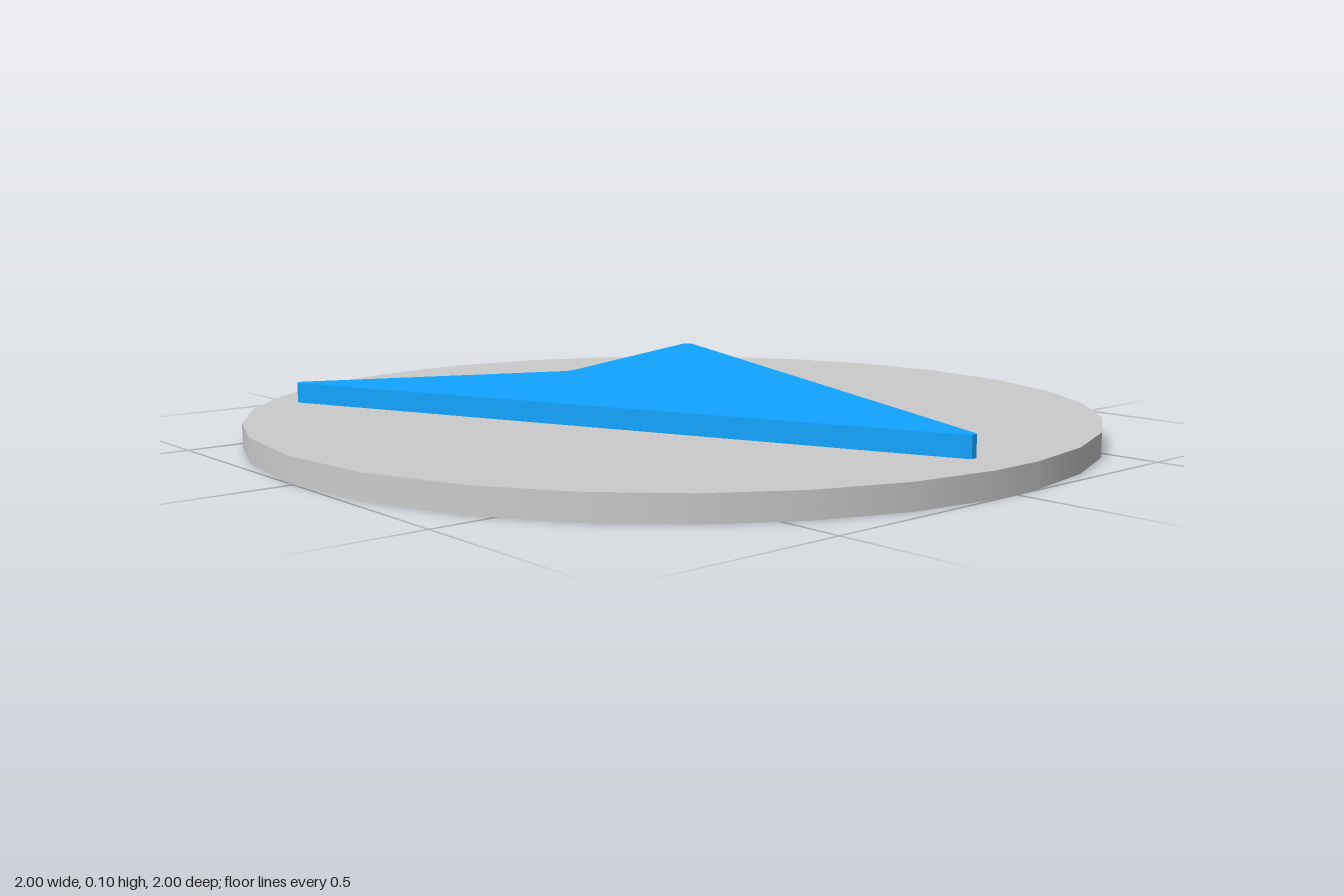
import * as THREE from 'three';

const DISC_HEIGHT = 0.056;
const ARROW_HEIGHT = 0.048;

// Slightly uneven 30-sided disc: rim angles in degrees from the front, mirrored in x
function discGeometry() {
  const half = [4, 15.4, 27, 38.8, 51, 63.3, 77, 91, 105, 116.7, 129, 140.8, 152.5, 164.3, 176];
  const rim = [...half, ...half.map((a) => 360 - a).reverse()];
  const geometry = new THREE.CylinderGeometry(1, 1, DISC_HEIGHT, rim.length);
  const { position, normal } = geometry.attributes;
  for (let i = 0; i < position.count; i++) {
    const x = position.getX(i), z = position.getZ(i);
    if (Math.hypot(x, z) < 0.5) continue; // cap centre
    const step = Math.round((Math.atan2(x, z) / (2 * Math.PI)) * rim.length);
    const angle = THREE.MathUtils.degToRad(rim[(step + rim.length) % rim.length]);
    position.setX(i, Math.sin(angle));
    position.setZ(i, Math.cos(angle));
    if (Math.abs(normal.getY(i)) < 0.5) normal.setXYZ(i, Math.sin(angle), 0, Math.cos(angle));
  }
  return geometry.translate(0, DISC_HEIGHT / 2, 0);
}

// Notched arrowhead with small blunted corners, as [x, z]
function arrowGeometry() {
  const outline = [
    [-0.016, 0.885], [-0.007, 0.897], [0.007, 0.897], [0.016, 0.885], // tip
    [0.65, -0.655], [0.65, -0.669], [0.64, -0.676], [0.628, -0.674], // left barb
    [0.012, -0.404], [-0.012, -0.399], [-0.036, -0.404], // notch
    [-0.628, -0.662], [-0.641, -0.664], [-0.65, -0.655], [-0.649, -0.642], // right barb
  ];
  const shape = new THREE.Shape(outline.map(([x, z]) => new THREE.Vector2(x, -z)));
  return new THREE.ExtrudeGeometry(shape, { depth: ARROW_HEIGHT, bevelEnabled: false })
    .rotateX(-Math.PI / 2)
    .translate(0, DISC_HEIGHT, 0);
}

export function createModel() {
  const group = new THREE.Group();
  const add = (name, geometry, color) => {
    const mesh = new THREE.Mesh(geometry, new THREE.MeshStandardMaterial({ color }));
    mesh.name = name;
    group.add(mesh);
  };
  add('baseDisc', discGeometry(), 0xcccccc);
  add('arrow', arrowGeometry(), 0x10a4ff);
  return group;
}
